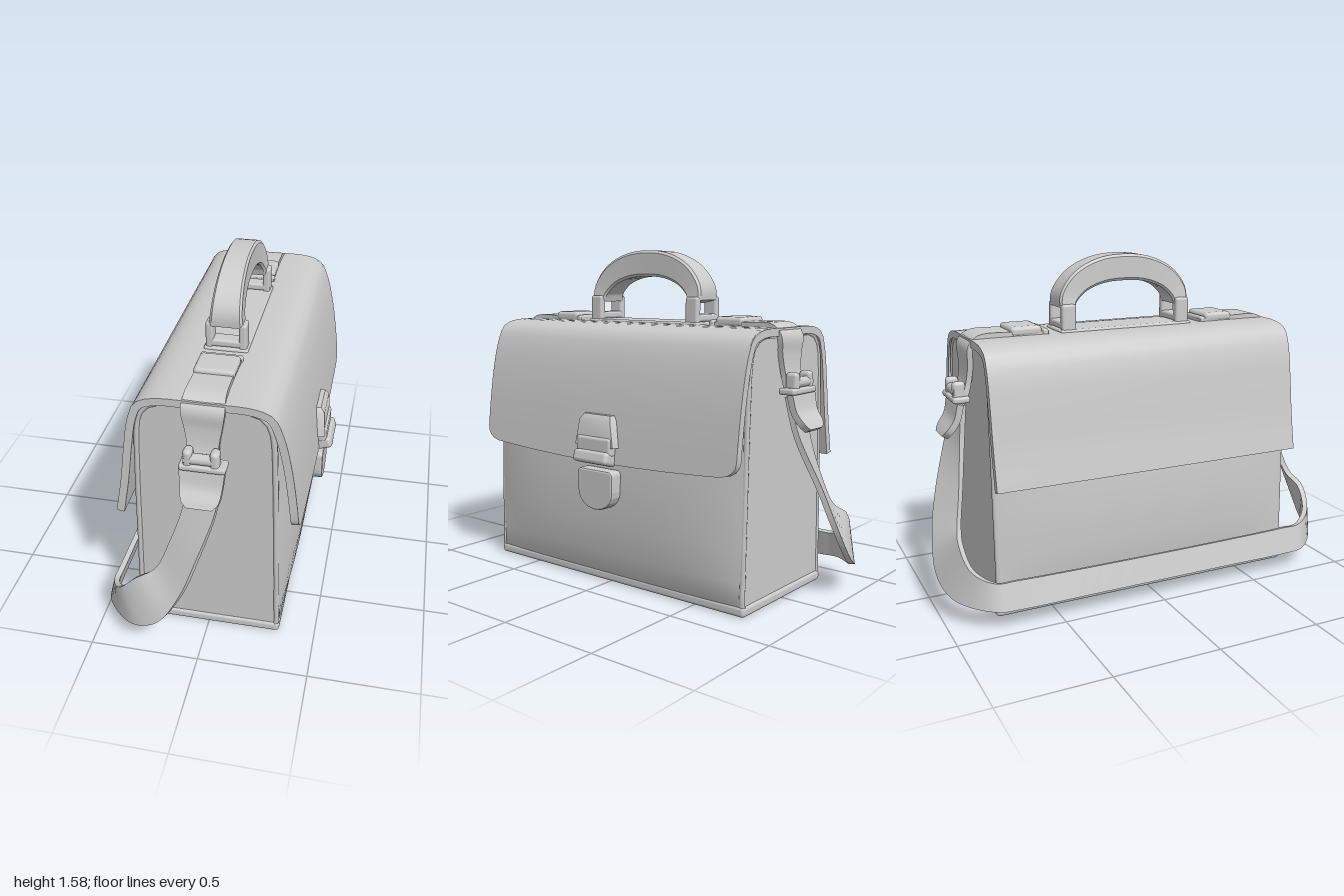
import * as THREE from 'three';
import { toCreasedNormals } from 'three/addons/utils/BufferGeometryUtils.js';
import { RoundedBoxGeometry } from 'three/addons/geometries/RoundedBoxGeometry.js';

const material = new THREE.MeshStandardMaterial({ color: 0xcccccc, side: THREE.DoubleSide });
const V = (x, y, z) => new THREE.Vector3(x, y, z);

function add(parent, name, geometry, x = 0, y = 0, z = 0) {
  const mesh = new THREE.Mesh(geometry, material);
  mesh.name = name;
  mesh.position.set(x, y, z);
  parent.add(mesh);
  return mesh;
}

// Skin a list of equal loops; loop points i and n-1-i face each other, which closes the ends
function loft(sections, crease = 0.6) {
  const n = sections[0].length;
  const pts = sections.flat();
  const idx = [];
  const quad = (a, b, c, d) => idx.push(a, b, c, a, c, d);
  for (let s = 0; s < sections.length - 1; s++) {
    for (let i = 0; i < n; i++) {
      const j = (i + 1) % n;
      quad(s * n + i, s * n + j, (s + 1) * n + j, (s + 1) * n + i);
    }
  }
  const e = (sections.length - 1) * n;
  for (let i = 0; i < n / 2 - 1; i++) {
    quad(i, n - 1 - i, n - 2 - i, i + 1);
    quad(e + i, e + i + 1, e + n - 2 - i, e + n - 1 - i);
  }
  // Turn the skin outward if its enclosed volume is negative
  let volume = 0;
  const cross = V();
  for (let i = 0; i < idx.length; i += 3) {
    volume += pts[idx[i]].dot(cross.crossVectors(pts[idx[i + 1]], pts[idx[i + 2]]));
  }
  if (volume < 0) idx.reverse();
  const geo = new THREE.BufferGeometry().setFromPoints(pts);
  geo.setIndex(idx);
  return toCreasedNormals(geo, crease);
}

// Leather band between two edge curves
function band(edgeA, edgeB, thickness, steps) {
  const a = new THREE.CatmullRomCurve3(edgeA);
  const b = new THREE.CatmullRomCurve3(edgeB);
  const sections = [];
  for (let i = 0; i <= steps; i++) {
    const t = i / steps;
    const p = a.getPoint(t), q = b.getPoint(t);
    const n = a.getTangent(t).add(b.getTangent(t)).cross(q.clone().sub(p)).setLength(thickness / 2);
    sections.push([p.clone().add(n), q.clone().add(n), q.clone().sub(n), p.clone().sub(n)]);
  }
  return loft(sections);
}

function createBody(bag) {
  // Half outline: x at the ends, x in the middle, y
  const half = [[0.31, 0.31, 0.01], [0.33, 0.338, 0.05], [0.328, 0.36, 0.15], [0.326, 0.377, 0.3], [0.32, 0.375, 0.5],
    [0.315, 0.364, 0.7], [0.308, 0.335, 0.9], [0.298, 0.305, 1.08], [0.28, 0.285, 1.15], [0.23, 0.24, 1.195]];
  const section = z => {
    const bulge = 1 - (Math.abs(z) / 0.76) ** 4;
    const side = s => half.map(([end, mid, y]) => V(s * (end + (mid - end) * bulge), y, z));
    return [...side(1), ...side(-1).reverse()];
  };
  const stations = Array.from({ length: 21 }, (_, i) => 0.76 * Math.sin((i / 20 - 0.5) * Math.PI));
  add(bag, 'body', loft(stations.map(section)));
  add(bag, 'base', new RoundedBoxGeometry(0.67, 0.05, 1.54, 2, 0.018), 0, 0.025, 0);
  // Piping around both ends
  for (const side of [-1, 1]) {
    const edge = new THREE.CatmullRomCurve3(section(side * 0.76).map(p => V(p.x * 0.97, p.y, p.z * 0.99)));
    add(bag, 'endPiping', new THREE.TubeGeometry(edge, 60, 0.014, 6));
  }
}

function createFlap(bag) {
  const outline = new THREE.CatmullRomCurve3([[-0.407, 0.62], [-0.375, 0.8], [-0.35, 0.98], [-0.325, 1.12],
    [-0.29, 1.2], [-0.22, 1.23], [0, 1.235], [0.22, 1.23], [0.29, 1.2], [0.33, 1.12], [0.365, 0.98],
    [0.393, 0.8], [0.415, 0.6]].map(([x, y]) => V(x, y, 0)));
  const stations = [-0.77, -0.765, -0.75, -0.725, -0.69, -0.6, -0.4, -0.2, 0];
  const zs = [...stations, ...stations.slice(0, -1).map(z => -z).reverse()];
  add(bag, 'flap', loft(zs.map(z => {
    // The front edge dips in the middle and has rounded corners
    const corner = Math.max(0, Math.abs(z) - 0.69) / 0.08;
    const lift = 0.035 * (z / 0.77) ** 2 + 0.07 * (1 - Math.sqrt(1 - Math.min(1, corner ** 2)));
    const end = 1 - lift / 2.05;
    const outer = [], inner = [];
    for (let i = 0; i <= 48; i++) {
      const t = end * i / 48;
      const p = outline.getPointAt(t), d = outline.getTangentAt(t);
      p.z = z;
      outer.push(p);
      inner.unshift(V(p.x + d.y * 0.035, p.y - d.x * 0.035, z));
    }
    return [...outer, ...inner];
  })));
}

function createClasp(bag) {
  const clasp = new THREE.Group();
  clasp.name = 'clasp';
  bag.add(clasp);
  // Upper plate, wider at its lower edge
  const plate = [[0.4, 0.825, 0.09, 0.02], [0.41, 0.8, 0.105, 0.035], [0.418, 0.68, 0.13, 0.035]];
  add(clasp, 'claspPlate', loft(plate.map(([x, y, w, d]) =>
    [V(x - d, y, -w), V(x - d, y, w), V(x + d * 0.6, y, w * 0.9), V(x + d * 0.6, y, -w * 0.9)])));
  add(clasp, 'claspBlock', new RoundedBoxGeometry(0.06, 0.09, 0.21, 2, 0.015), 0.418, 0.68, 0);
  const catchBar = add(clasp, 'claspCatch', new RoundedBoxGeometry(0.085, 0.06, 0.21, 2, 0.018), 0.432, 0.625, 0);
  catchBar.rotation.z = 0.3;
  // Rounded lower tongue
  const shape = new THREE.Shape();
  shape.moveTo(-0.085, 0.56);
  shape.lineTo(0.085, 0.56);
  shape.quadraticCurveTo(0.1, 0.56, 0.1, 0.54);
  shape.lineTo(0.1, 0.47);
  shape.bezierCurveTo(0.1, 0.355, -0.1, 0.355, -0.1, 0.47);
  shape.lineTo(-0.1, 0.54);
  shape.quadraticCurveTo(-0.1, 0.56, -0.085, 0.56);
  const tongue = new THREE.ExtrudeGeometry(shape, { depth: 0.045, bevelSize: 0.008, bevelThickness: 0.012, bevelSegments: 2 });
  add(clasp, 'claspTongue', tongue, 0.38, 0, 0).rotation.y = Math.PI / 2;
}

function createHandle(bag) {
  const handle = new THREE.Group();
  handle.name = 'handle';
  bag.add(handle);
  add(handle, 'handlePlate', new RoundedBoxGeometry(0.2, 0.025, 0.68, 2, 0.01), 0, 1.235, 0);
  const path = new THREE.CatmullRomCurve3([[0.297, 1.34], [0.285, 1.395], [0.223, 1.463], [0.12, 1.507], [0, 1.519],
    [-0.12, 1.507], [-0.223, 1.463], [-0.285, 1.395], [-0.297, 1.34]].map(([z, y]) => V(0, y, z)));
  // Flat grip section, started so that facing points pair up
  const ring = [[0.85, 1], [1, 0.8], [1, -0.8], [0.85, -1], [-0.85, -1], [-1, -0.8], [-1, 0.8], [-0.85, 1]];
  const sections = [];
  for (let i = 0; i <= 32; i++) {
    const p = path.getPoint(i / 32), d = path.getTangent(i / 32);
    const swell = Math.sin(Math.PI * i / 32);
    const w = 0.078 - 0.02 * swell, h = 0.036 + 0.026 * swell;
    sections.push(ring.map(([a, b]) => V(a * w, p.y - d.z * b * h, p.z + d.y * b * h)));
  }
  add(handle, 'handleGrip', loft(sections, 0.5));
  for (const z of [-0.297, 0.297]) {
    for (const x of [-0.075, 0.075]) {
      add(handle, 'handleFork', new RoundedBoxGeometry(0.035, 0.13, 0.07, 2, 0.012), x, 1.298, z);
    }
    add(handle, 'handleBar', new RoundedBoxGeometry(0.17, 0.035, 0.07, 2, 0.012), 0, 1.265, z);
  }
}

// Strap anchor for the +z end
function createAnchor() {
  const anchor = new THREE.Group();
  anchor.name = 'strapAnchor';
  const line = [[0.09, 1.238, 0.4], [0.085, 1.245, 0.6], [0.088, 1.24, 0.73], [0.092, 1.2, 0.772],
    [0.08, 1.12, 0.772], [0.068, 1.04, 0.78], [0.072, 0.97, 0.8]];
  const edge = s => line.map(([x, y, z]) => V(s * x, y, z));
  add(anchor, 'anchorStrap', band(edge(-1), edge(1), 0.025, 30));
  add(anchor, 'topKeeper', new RoundedBoxGeometry(0.18, 0.045, 0.15, 2, 0.018), 0, 1.255, 0.505);
  add(anchor, 'keeperBar', new RoundedBoxGeometry(0.19, 0.035, 0.03, 2, 0.012), 0, 1.245, 0.415);
  // Swivel with two lugs and a crossbar
  for (const x of [-0.055, 0.06]) {
    add(anchor, 'swivelLug', new RoundedBoxGeometry(0.04, 0.085, 0.06, 2, 0.018), x, 1.005, 0.825);
  }
  add(anchor, 'swivelPin', new THREE.CylinderGeometry(0.025, 0.025, 0.14, 10), 0, 1.0, 0.83).rotation.z = Math.PI / 2;
  add(anchor, 'swivelBar', new RoundedBoxGeometry(0.2, 0.03, 0.08, 2, 0.012), 0.008, 0.965, 0.82);
  // Tapered tab leaning outward
  const tab = [[0.95, 0.098, 0.83], [0.87, 0.09, 0.85], [0.82, 0.08, 0.885], [0.795, 0.055, 0.9]];
  const tabEdge = s => tab.map(([y, w, z]) => V(0.005 + s * w, y, z));
  add(anchor, 'strapTab', band(tabEdge(-1), tabEdge(1), 0.03, 12));
  return anchor;
}

function createShoulderStrap(bag) {
  // Upper and lower edge from one anchor to the middle of the back
  const upper = [[-0.07, 0.94, 0.81], [-0.075, 0.77, 0.825], [-0.14, 0.55, 0.86], [-0.2, 0.42, 0.89],
    [-0.29, 0.365, 0.91], [-0.375, 0.27, 0.885], [-0.428, 0.22, 0.8], [-0.43, 0.215, 0.7], [-0.43, 0.21, 0.35]];
  const lower = [[0.08, 0.94, 0.81], [0.07, 0.77, 0.855], [-0.005, 0.53, 0.935], [-0.07, 0.36, 0.975],
    [-0.18, 0.19, 0.99], [-0.31, 0.12, 0.95], [-0.455, 0.095, 0.8], [-0.462, 0.09, 0.7], [-0.462, 0.09, 0.35]];
  const whole = e => [...e.map(p => V(...p)), ...e.map(([x, y, z]) => V(x, y, -z)).reverse()];
  add(bag, 'shoulderStrap', band(whole(upper), whole(lower), 0.025, 120));
}

export function createModel() {
  const bag = new THREE.Group();
  bag.name = 'briefcase';
  createBody(bag);
  createFlap(bag);
  createClasp(bag);
  createHandle(bag);
  createShoulderStrap(bag);
  const near = createAnchor();
  const far = createAnchor();
  far.rotation.y = Math.PI;
  // The far anchor is a mirrored copy, so its sideways offsets stay on the same side
  far.children.forEach(part => { part.position.x *= -1; });
  bag.add(near, far);
  return bag;
}
